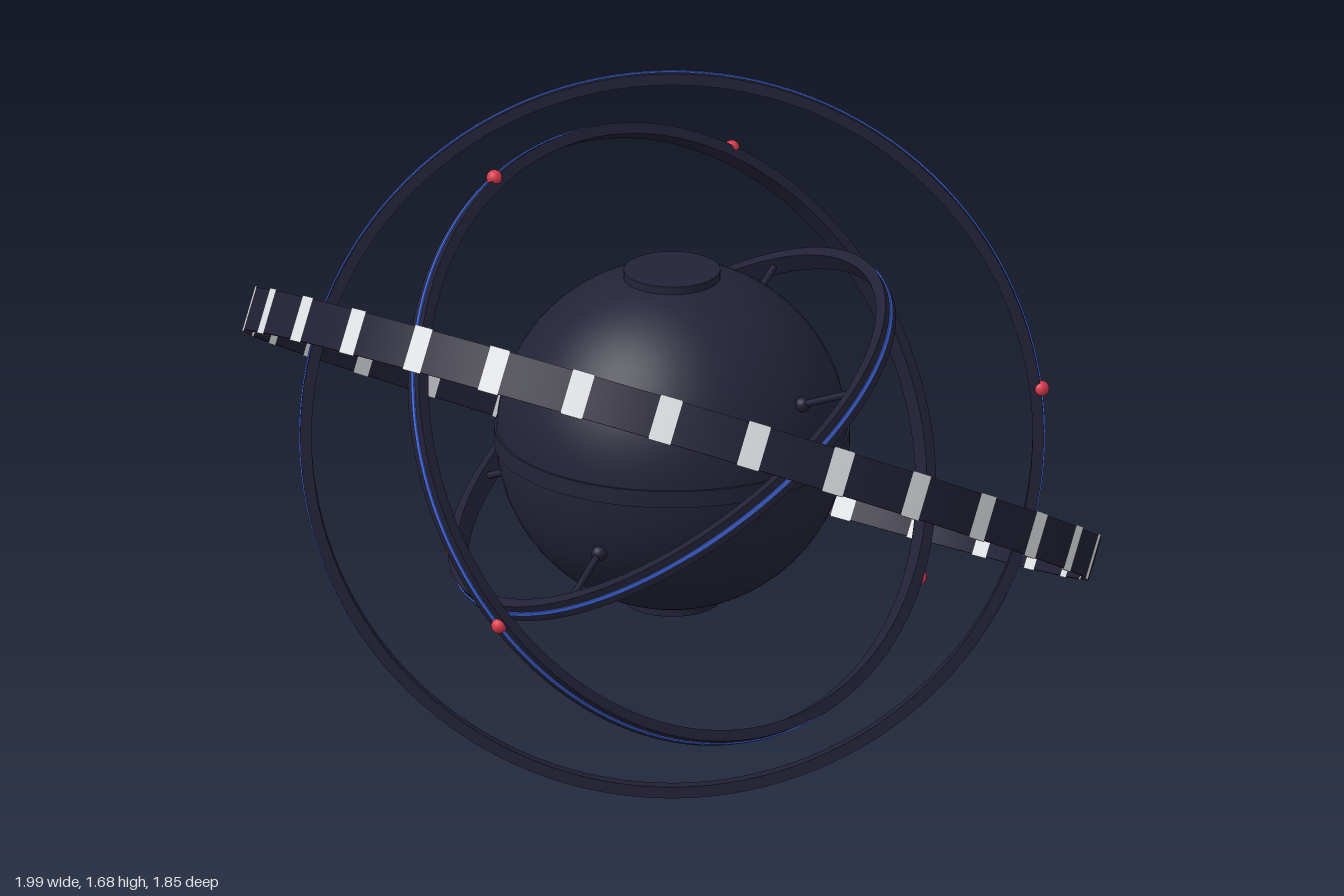
import * as THREE from 'three';
import { toCreasedNormals } from 'three/addons/utils/BufferGeometryUtils.js';

const mat = (name, color) => {
  const m = new THREE.MeshStandardMaterial({ color });
  m.name = name;
  return m;
};

export function createModel() {
  const root = new THREE.Group();
  root.name = 'ringedSphere';
  const core = new THREE.Group();
  core.name = 'core';
  core.position.y = 0.855;
  root.add(core);

  const hull = mat('dark navy hull', 0x232338);
  const ringMat = mat('dark navy ring', 0x212035);
  const white = mat('pale stripe', 0xe4e6ea);
  const blue = mat('blue light', 0x4169e1);
  const red = mat('red node', 0xd83a4c);

  const add = (parent, name, geometry, material) => {
    const m = new THREE.Mesh(geometry, material);
    m.name = name;
    parent.add(m);
    return m;
  };

  // Ring of rectangular section around y, or an arc of one
  const band = (ri, ro, h, start = 0, length = Math.PI * 2, segments = 128) => {
    const pts = [[ri, -h], [ro, -h], [ro, h], [ri, h], [ri, -h]]
      .map(([x, y]) => new THREE.Vector2(x, y));
    return toCreasedNormals(new THREE.LatheGeometry(pts, segments, start, length), 0.6);
  };

  // Group whose y axis is the ring normal and whose z axis leans toward a given direction
  const frame = (name, normal, toward) => {
    const n = new THREE.Vector3(...normal).normalize();
    const z = new THREE.Vector3(...toward);
    z.addScaledVector(n, -z.dot(n)).normalize();
    const x = new THREE.Vector3().crossVectors(n, z);
    const g = new THREE.Group();
    g.name = name;
    g.quaternion.setFromRotationMatrix(new THREE.Matrix4().makeBasis(x, n, z));
    core.add(g);
    return g;
  };

  // Sphere with pole caps and an equatorial belt
  add(core, 'sphere', new THREE.SphereGeometry(0.4, 64, 48), hull);
  add(core, 'equatorBelt', band(0.385, 0.404, 0.02), hull);
  for (const s of [1, -1]) {
    const cap = add(core, s > 0 ? 'topCap' : 'bottomCap',
      new THREE.CylinderGeometry(0.11, 0.11, 0.03, 48), hull);
    cap.position.y = s * 0.388;
  }

  // Thin rings: blue line round the outside, red nodes set on the rim
  const thinRings = [
    { name: 'outerRing', r: 0.832, n: [0.26, 0.15, 0.954], toward: [1, 0, 0],
      nodes: [[0.825, 0.11, -0.23]] },
    { name: 'middleRing', r: 0.71, n: [0.727, 0.505, 0.465], toward: [0, 0, 1],
      nodes: [[-0.41, 0.595, 0.027], [-0.235, -0.245, 0.634], [0, 0.495, -0.525], [0.5, -0.425, -0.32]] },
    { name: 'innerRing', r: 0.58, n: [-0.495, 0.83, 0.26], toward: [0.1, 0.21, -0.49],
      nodes: [[0.42, 0.105, 0.42], [-0.5, -0.315, 0.05], [0.13, 0.24, -0.52]] },
  ];
  const nodeGeo = new THREE.SphereGeometry(0.018, 20, 14);
  const frames = {};
  for (const { name, r, n, toward, nodes } of thinRings) {
    const g = frames[name] = frame(name, n, toward);
    add(g, name + 'Body', band(r - 0.013, r + 0.013, 0.022), ringMat);
    add(g, name + 'Light', band(r + 0.008, r + 0.016, 0.005), blue);
    for (const p of nodes) {
      const node = add(core, name + 'Node', nodeGeo, red);
      node.position.set(...p).setLength(r + 0.014);
    }
  }

  // Four spokes joining the sphere to the inner ring
  for (let i = 0; i < 4; i++) {
    const arm = new THREE.Group();
    arm.name = 'spoke';
    arm.rotation.y = i * Math.PI / 2;
    frames.innerRing.add(arm);
    const rod = add(arm, 'spokeRod', new THREE.CylinderGeometry(0.008, 0.008, 0.2, 12), ringMat);
    rod.rotation.x = Math.PI / 2;
    rod.position.z = 0.475;
    add(arm, 'spokeKnob', new THREE.SphereGeometry(0.018, 16, 12), ringMat).position.z = 0.405;
  }

  // Wide tilted band with thirty pale stripes
  const wide = frame('stripedBand', [0.175, 0.88, -0.44], [0.02, 0.45, 0.88]);
  add(wide, 'bandBody', band(0.988, 1.002, 0.05, 0, Math.PI * 2, 180), ringMat);
  for (let i = 0; i < 30; i++) {
    const a = i * Math.PI / 15;
    add(wide, 'bandStripe', band(0.985, 1.005, 0.053, a - 0.026, 0.052, 3), white);
  }

  return root;
}
